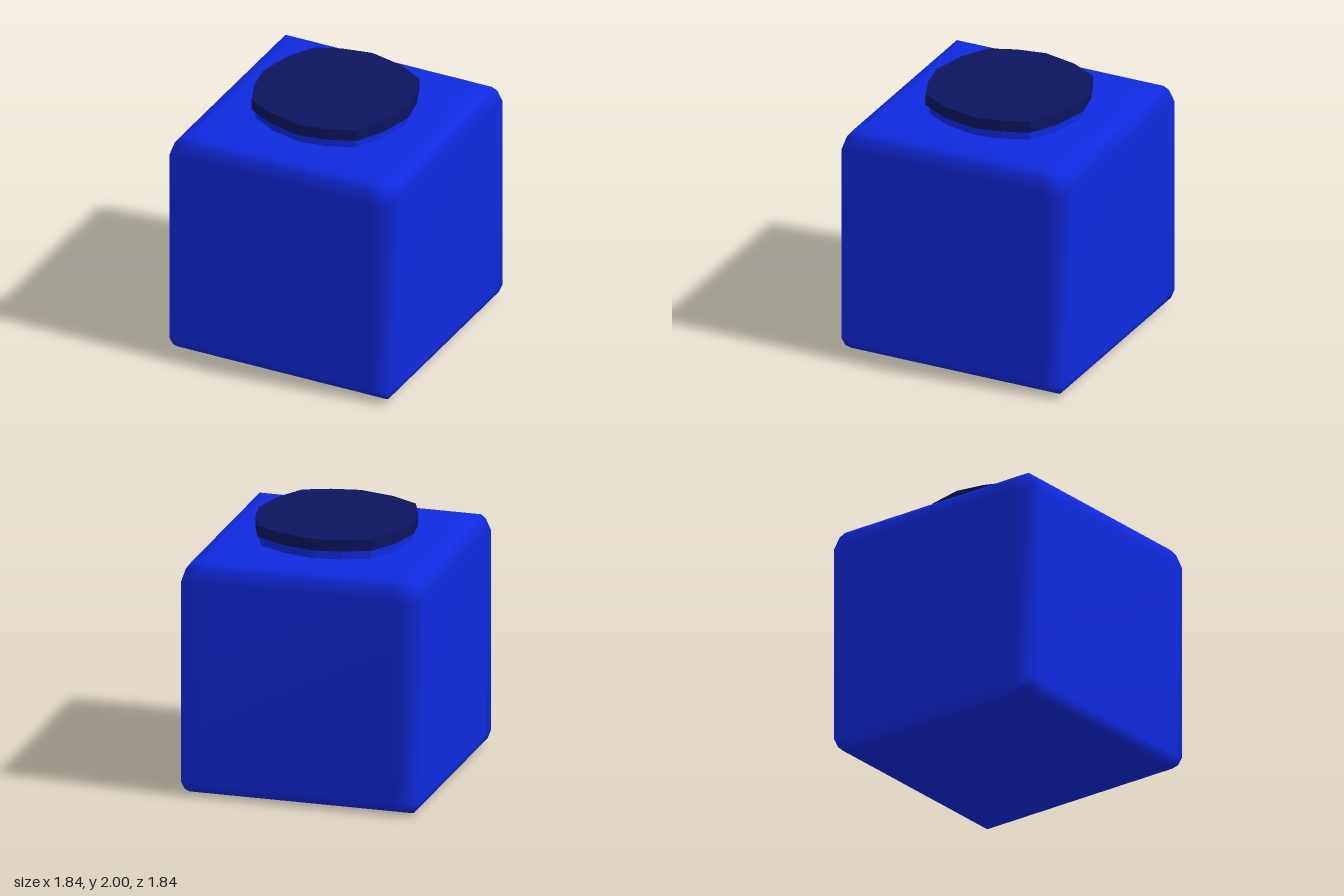
import * as THREE from 'three';

// Square rings stacked from bottom to top: [half width, height]
const PROFILE = [
  [0.81, 0], [0.87, 0.02], [0.9, 0.05], [0.92, 0.11],
  [0.92, 1.67], [0.89, 1.77], [0.86, 1.81], [0.77, 1.84],
];

// Square-section body with softened shading along its edges
function bodyGeometry() {
  const steps = [-1, -0.82, 0.82];
  const loop = [];
  for (let side = 0; side < 4; side++) {
    for (const t of steps) {
      loop.push([[1, t], [-t, 1], [-1, -t], [t, -1]][side]);
    }
  }
  const n = loop.length, positions = [], index = [];
  for (const [w, y] of PROFILE) {
    for (const [x, z] of loop) positions.push(x * w, y, z * w);
  }
  const top = (PROFILE.length - 1) * n;
  const bottomCentre = top + n, topCentre = bottomCentre + 1;
  positions.push(0, 0, 0, 0, PROFILE.at(-1)[1], 0);
  for (let j = 0; j < n; j++) {
    const k = (j + 1) % n;
    for (let r = 0; r < top; r += n) {
      index.push(r + k, r + j, r + n + j, r + k, r + n + j, r + n + k);
    }
    index.push(bottomCentre, j, k, topCentre, top + k, top + j);
  }
  const g = new THREE.BufferGeometry();
  g.setAttribute('position', new THREE.Float32BufferAttribute(positions, 3));
  g.setIndex(index);
  g.computeVertexNormals();
  return g;
}

// Slightly uneven sixteen-sided disc: one quarter turned four times
function discGeometry(scale, y0, y1) {
  const quarter = [[0, 0.605], [0.27, 0.54], [0.485, 0.42], [0.565, 0.22]];
  const points = [];
  for (let q = 0; q < 4; q++) {
    for (const [x, y] of quarter) {
      points.push(new THREE.Vector2(x, y).multiplyScalar(scale)
        .rotateAround(new THREE.Vector2(), -q * Math.PI / 2));
    }
  }
  const g = new THREE.ExtrudeGeometry(new THREE.Shape(points), { depth: y1 - y0, bevelEnabled: false });
  g.rotateX(-Math.PI / 2);
  g.translate(-0.008, y0, -0.008);
  return g;
}

export function createModel() {
  const group = new THREE.Group();
  const blue = { color: 0x102ae0 };
  const add = (name, geometry, options) => {
    const mesh = new THREE.Mesh(geometry, new THREE.MeshStandardMaterial(options));
    mesh.name = name;
    group.add(mesh);
  };
  add('jarBody', bodyGeometry(), blue);
  add('neck', discGeometry(0.957, 1.83, 1.915), { ...blue, flatShading: true });
  add('lid', discGeometry(1, 1.91, 2), { color: 0x0c1560, flatShading: true });
  return group;
}
